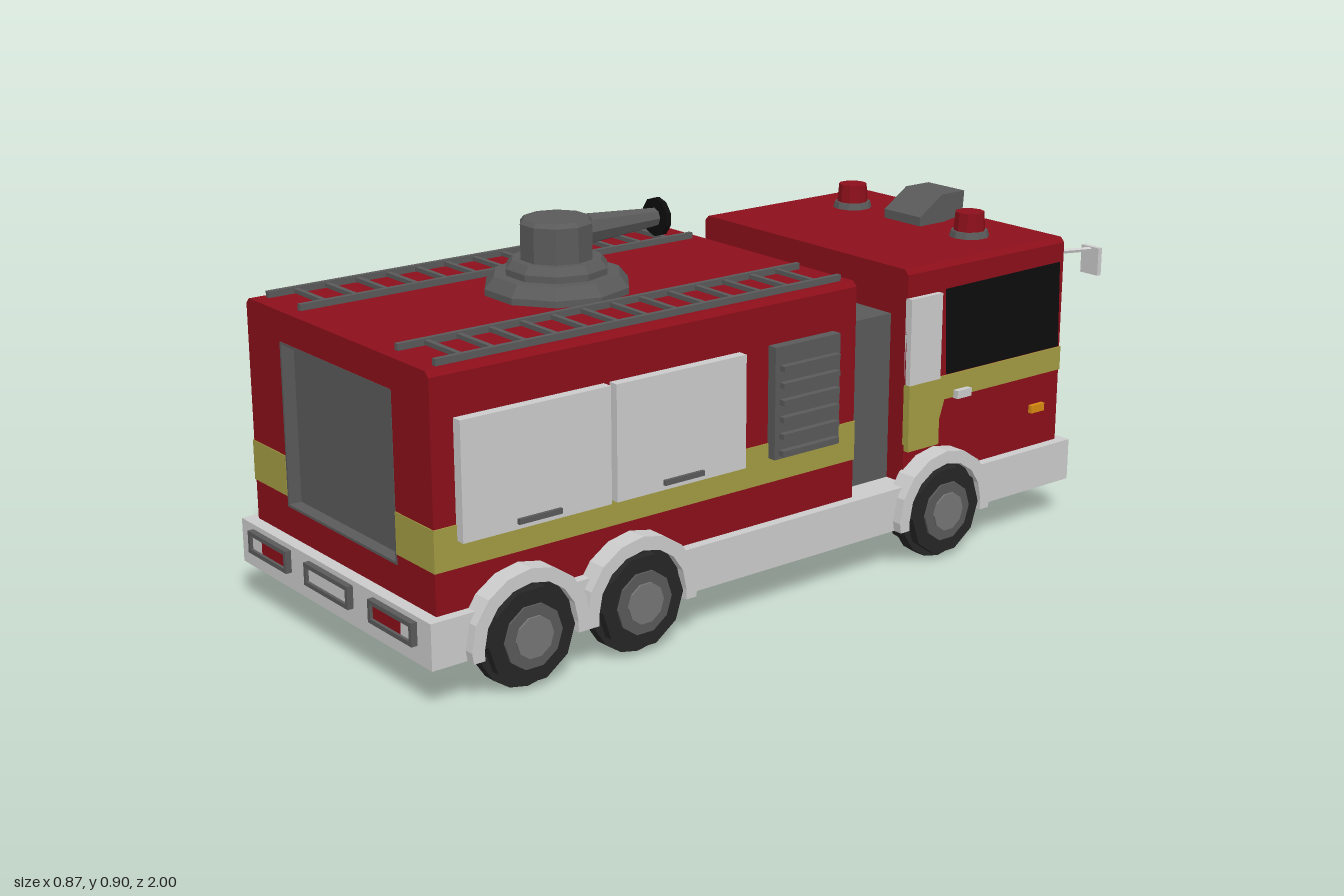
import * as THREE from 'three';

const mat = (color) => new THREE.MeshStandardMaterial({ color, flatShading: true });

export function createModel() {
  const truck = new THREE.Group();
  const red = mat(0x8c0f1a), pale = mat(0xcccccc), dark = mat(0x5a5a5a), black = mat(0x0c0c0c);
  const tyreMat = mat(0x262626), yellow = mat(0xa39c42), orange = mat(0xd98a10), under = mat(0x484848);

  const add = (name, geo, m) => {
    const mesh = new THREE.Mesh(geo, m);
    mesh.name = name;
    truck.add(mesh);
    return mesh;
  };
  // Box given by its limits on each axis
  const box = (name, m, x0, x1, y0, y1, z0, z1) => add(name,
    new THREE.BoxGeometry(x1 - x0, y1 - y0, z1 - z0).translate((x0 + x1) / 2, (y0 + y1) / 2, (z0 + z1) / 2), m);
  // The same box on both flanks
  const pair = (name, m, x0, x1, y0, y1, z0, z1) => {
    box(name + 'Left', m, x0, x1, y0, y1, z0, z1);
    box(name + 'Right', m, -x1, -x0, y0, y1, z0, z1);
  };
  const toShape = (pts) => new THREE.Shape(pts.map((p) => new THREE.Vector2(p[0], p[1])));
  // Outline in (x, y) extruded along z
  const extrudeZ = (shape, z0, z1) =>
    new THREE.ExtrudeGeometry(shape, { depth: z1 - z0, bevelEnabled: false }).translate(0, 0, z0);
  // Outline in (z, y) extruded along x
  const extrudeX = (shape, x0, x1) =>
    new THREE.ExtrudeGeometry(shape, { depth: x1 - x0, bevelEnabled: false }).rotateY(-Math.PI / 2).translate(x1, 0, 0);
  const sidePair = (name, m, pts, x0, x1) => {
    add(name + 'Left', extrudeX(toShape(pts), x0, x1), m);
    add(name + 'Right', extrudeX(toShape(pts), -x1, -x0), m);
  };
  // Hull cross-section with chamfered roof edges
  const hull = () => toShape([[-0.375, 0.19], [0.375, 0.19], [0.375, 0.703], [0.363, 0.715], [-0.363, 0.715], [-0.375, 0.703]]);

  // Chassis
  box('chassis', pale, -0.4, 0.4, 0.085, 0.19, -0.93, 0.985);
  box('underside', under, -0.385, 0.385, 0.082, 0.09, -0.925, 0.97);
  box('connector', dark, -0.32, 0.32, 0.19, 0.6, -0.38, -0.195);

  // Rear body with a recessed rear shutter
  add('body', extrudeZ(hull(), -0.205, 0.915), red);
  const rear = hull();
  rear.holes.push(new THREE.Path([[-0.23, 0.26], [-0.23, 0.645], [0.23, 0.645], [0.23, 0.26]].map((p) => new THREE.Vector2(...p))));
  add('rearFrame', extrudeZ(rear, 0.915, 0.955), red);
  box('rearShutter', dark, -0.23, 0.23, 0.26, 0.645, 0.91, 0.925);
  pair('shutterJamb', dark, 0.224, 0.23, 0.26, 0.645, 0.92, 0.956);
  box('shutterSill', dark, -0.23, 0.23, 0.26, 0.266, 0.92, 0.956);
  box('shutterHeader', dark, -0.23, 0.23, 0.639, 0.645, 0.92, 0.956);
  pair('bodyStripe', yellow, 0.37, 0.378, 0.285, 0.38, -0.206, 0.957);
  pair('rearStripe', yellow, 0.23, 0.377, 0.285, 0.38, 0.95, 0.957);

  // Equipment lockers and side vents
  for (const [z0, z1] of [[0.52, 0.9], [0.145, 0.505]]) {
    pair('locker', pale, 0.37, 0.4, 0.345, 0.61, z0, z1);
    const h = z0 > 0.3 ? 0.71 : 0.325;
    pair('lockerHandle', dark, 0.398, 0.408, 0.357, 0.369, h - 0.055, h + 0.055);
  }
  pair('vent', dark, 0.37, 0.4, 0.345, 0.61, -0.135, 0.06);
  for (let i = 0; i < 6; i++) {
    pair('ventSlat', dark, 0.395, 0.416, 0.354 + i * 0.04, 0.367 + i * 0.04, -0.122, 0.047);
  }

  // Cab
  add('cab', extrudeZ(hull(), -0.905, -0.37), red);
  sidePair('cabStripe', yellow, [[-0.907, 0.375], [-0.5, 0.375], [-0.47, 0.285], [-0.37, 0.285], [-0.37, 0.435], [-0.907, 0.435]], 0.37, 0.378);
  box('frontStripe', yellow, -0.377, 0.377, 0.375, 0.435, -0.908, -0.9);
  pair('pillar', pale, 0.37, 0.39, 0.435, 0.647, -0.472, -0.37);
  pair('pillarBase', yellow, 0.37, 0.39, 0.27, 0.435, -0.472, -0.37);
  sidePair('sideWindow', black, [[-0.897, 0.437], [-0.505, 0.437], [-0.495, 0.65], [-0.89, 0.655]], 0.37, 0.378);
  box('windscreen', black, -0.335, 0.335, 0.45, 0.655, -0.909, -0.9);
  pair('doorHandle', pale, 0.37, 0.393, 0.373, 0.393, -0.578, -0.53);
  pair('sideMarker', orange, 0.37, 0.386, 0.28, 0.3, -0.848, -0.802);

  // Grille and headlights
  add('grille', extrudeZ(toShape([[-0.165, 0.205], [0.165, 0.205], [0.215, 0.34], [0.195, 0.38], [-0.195, 0.38], [-0.215, 0.34]]), -0.915, -0.9), dark);
  for (let i = 0; i < 5; i++) {
    const w = 0.16 + i * 0.009;
    box('grilleSlat', dark, -w, w, 0.222 + i * 0.029, 0.236 + i * 0.029, -0.922, -0.91);
  }
  pair('headlightFrame', dark, 0.24, 0.345, 0.275, 0.335, -0.915, -0.9);
  pair('headlight', yellow, 0.255, 0.33, 0.288, 0.322, -0.919, -0.91);

  // Rear lamps and plate, each inside a frame
  const frame = (name, x0, x1) => {
    box(name, dark, x0, x1, 0.125, 0.135, 0.98, 1);
    box(name, dark, x0, x1, 0.168, 0.178, 0.98, 1);
    box(name, dark, x0, x0 + 0.01, 0.125, 0.178, 0.98, 1);
    box(name, dark, x1 - 0.01, x1, 0.125, 0.178, 0.98, 1);
  };
  frame('lampFrameLeft', 0.175, 0.347);
  frame('lampFrameRight', -0.347, -0.175);
  frame('plateFrame', -0.094, 0.092);
  pair('tailLamp', red, 0.183, 0.295, 0.133, 0.17, 0.98, 0.993);
  pair('reverseLamp', pale, 0.295, 0.339, 0.133, 0.17, 0.98, 0.993);
  box('rearPlate', pale, -0.086, 0.084, 0.133, 0.17, 0.98, 0.993);

  // Wheels with angular arches
  const arc = (r, reverse) => {
    const pts = [];
    for (let i = 0; i <= 8; i++) {
      const a = Math.PI * (reverse ? 8 - i : i) / 8;
      pts.push([r * Math.cos(a), 0.11 + r * Math.sin(a)]);
    }
    return pts;
  };
  const arch = [[0.148, 0.085], ...arc(0.152), [-0.148, 0.085], [-0.12, 0.085], ...arc(0.12, true), [0.12, 0.085]];
  const disc = (name, m, r, x0, x1, z, n = 10) => {
    for (const s of [1, -1]) {
      add(name + (s > 0 ? 'Left' : 'Right'),
        new THREE.CylinderGeometry(r, r, x1 - x0, n).rotateZ(Math.PI / 2).translate(s * (x0 + x1) / 2, 0.11, z), m);
    }
  };
  for (const z of [0.75, 0.455, -0.47]) {
    sidePair('wheelArch', pale, arch.map((p) => [p[0] + z, p[1]]), 0.37, 0.424);
    disc('wheelWell', tyreMat, 0.122, 0.37, 0.403, z, 16);
    disc('tyre', tyreMat, 0.11, 0.335, 0.425, z);
    disc('rim', dark, 0.074, 0.4, 0.43, z);
    disc('hub', mat(0x757575), 0.048, 0.42, 0.435, z);
  }

  // Mirrors
  for (const s of [1, -1]) {
    const path = new THREE.CatmullRomCurve3([new THREE.Vector3(s * 0.355, 0.675, -0.9), new THREE.Vector3(s * 0.388, 0.675, -0.99)]);
    add('mirrorArm', new THREE.TubeGeometry(path, 1, 0.006, 5), pale);
    box('mirror', pale, s * 0.388 - 0.028, s * 0.388 + 0.028, 0.612, 0.682, -1, -0.987);
  }

  // Roof beacons and siren
  for (const s of [1, -1]) {
    add('beaconBase', new THREE.CylinderGeometry(0.046, 0.05, 0.016, 10).translate(s * 0.213, 0.723, -0.735), dark);
    add('beacon', new THREE.CylinderGeometry(0.036, 0.04, 0.048, 10).translate(s * 0.213, 0.753, -0.735), red);
  }
  add('siren', extrudeX(toShape([[-0.86, 0.725], [-0.78, 0.713], [-0.71, 0.713], [-0.71, 0.738], [-0.785, 0.787], [-0.865, 0.787]]), -0.065, 0.065), dark);
  box('sirenMouth', black, -0.052, 0.052, 0.738, 0.775, -0.868, -0.855);

  // Roof ladders
  for (const x of [0.2, 0.342]) pair('ladderRail', dark, x - 0.006, x + 0.006, 0.712, 0.73, -0.18, 0.92);
  for (let i = 0; i < 13; i++) {
    const z = -0.11 + i * 0.08;
    pair('ladderRung', dark, 0.2, 0.342, 0.717, 0.727, z - 0.006, z + 0.006);
  }

  // Water cannon
  const cannon = [[0, 0.71], [0.17, 0.71], [0.17, 0.73], [0.148, 0.757], [0.12, 0.757], [0.12, 0.772], [0.105, 0.79],
    [0.085, 0.79], [0.085, 0.872], [0.076, 0.882], [0, 0.882]].map((p) => new THREE.Vector2(...p));
  add('cannonTurret', new THREE.LatheGeometry(cannon, 10).rotateY(Math.PI / 10).translate(0, 0, 0.37), dark);
  add('cannonBarrel', new THREE.CylinderGeometry(0.038, 0.022, 0.22, 8).rotateX(Math.PI / 2).translate(0, 0.842, 0.2), dark);
  add('cannonNozzle', new THREE.CylinderGeometry(0.046, 0.046, 0.014, 10).rotateX(Math.PI / 2).translate(0, 0.842, 0.083), black);

  return truck;
}
